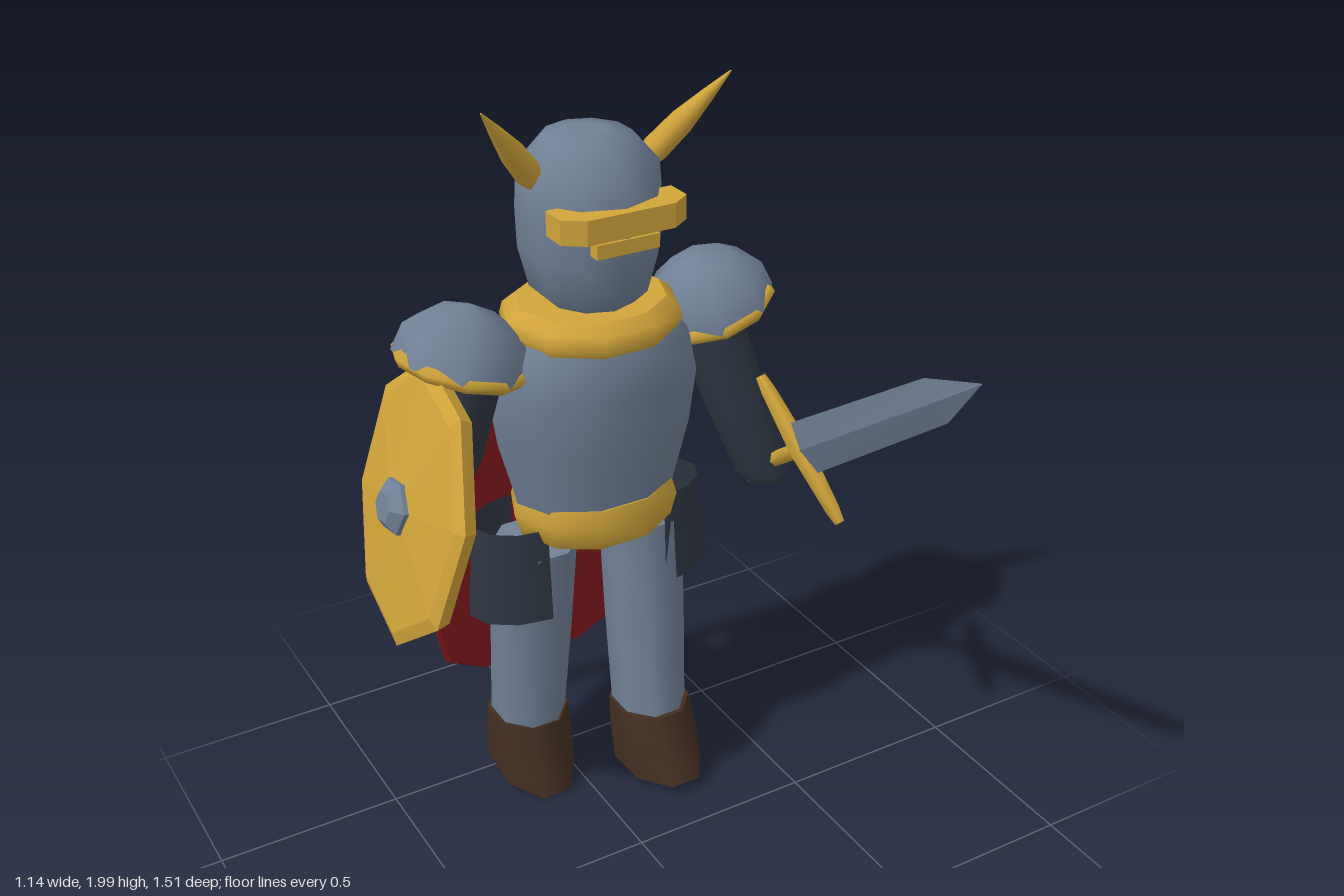
import * as THREE from 'three';

const CX = 0.055, CZ = -0.34; // body axis

const paint = (name, color, side = THREE.FrontSide) => {
  const m = new THREE.MeshStandardMaterial({ color, side });
  m.name = name;
  return m;
};

// Skin over elliptical rings, bottom to top. Ring: [y, cx, cz, rx, rz, slope of y along z]
function loft(rings, sides, { turn = 0, flat = false } = {}) {
  const pos = [], idx = [];
  const point = ([y, cx, cz, rx, rz, slope = 0], j) => {
    const a = turn + (j / sides) * Math.PI * 2;
    const dz = Math.cos(a) * rz;
    pos.push(cx + Math.sin(a) * rx, y + dz * slope, cz + dz);
  };
  rings.forEach((r, i) => {
    for (let j = 0; j < sides; j++) {
      point(r, j);
      if (i === rings.length - 1) continue;
      const a = i * sides + j, b = i * sides + (j + 1) % sides;
      idx.push(a, b, a + sides, b, b + sides, a + sides);
    }
  });
  // end caps
  [rings[0], rings[rings.length - 1]].forEach((r, top) => {
    const c = pos.length / 3;
    pos.push(r[1], r[0], r[2]);
    for (let j = 0; j < sides; j++) point(r, j);
    for (let j = 0; j < sides; j++) {
      const a = c + 1 + j, b = c + 1 + (j + 1) % sides;
      top ? idx.push(c, a, b) : idx.push(c, b, a);
    }
  });
  let g = new THREE.BufferGeometry();
  g.setAttribute('position', new THREE.Float32BufferAttribute(pos, 3));
  g.setIndex(idx);
  if (flat) g = g.toNonIndexed();
  g.computeVertexNormals();
  return g;
}

// Rings centred on a local axis: [y, rx, rz]
const axial = (rows, sides, opt) => loft(rows.map(([y, rx, rz = rx]) => [y, 0, 0, rx, rz]), sides, opt);
// Rings centred on the body axis: [y, rx, rz]
const bodyLoft = (rows, sides, opt) => loft(rows.map(([y, rx, rz]) => [y, CX, CZ, rx, rz]), sides, opt);

export function createModel() {
  const steel = paint('steel', 0x708096);
  const gold = paint('gold', 0xd0a43a);
  const dark = paint('dark iron', 0x2f3743, THREE.DoubleSide);
  const red = paint('red cloth', 0x8a1a1e);
  const leather = paint('brown leather', 0x432e21);

  const model = new THREE.Group();
  model.name = 'knight';
  const add = (name, geometry, material, parent = model) => {
    const m = new THREE.Mesh(geometry, material);
    m.name = name;
    parent.add(m);
    return m;
  };

  // Torso, collar and belt
  const flatFront = { turn: Math.PI / 10 };
  add('torso', bodyLoft([
    [0.9, 0.21, 0.16], [0.97, 0.225, 0.17], [1.12, 0.265, 0.195],
    [1.26, 0.285, 0.205], [1.36, 0.26, 0.2], [1.42, 0.2, 0.17],
  ], 10, flatFront), steel);
  add('collar', bodyLoft([
    [1.385, 0.215, 0.2], [1.41, 0.23, 0.215], [1.44, 0.222, 0.205], [1.465, 0.19, 0.175],
  ], 10, flatFront), gold);
  add('belt', bodyLoft([
    [0.825, 0.17, 0.14], [0.85, 0.21, 0.175], [0.91, 0.228, 0.185], [0.955, 0.215, 0.172],
  ], 10, flatFront), gold);

  // Helmet with visor and horns
  add('helmet', bodyLoft([
    [1.455, 0.1, 0.11], [1.5, 0.148, 0.155], [1.6, 0.172, 0.185], [1.7, 0.175, 0.187],
    [1.79, 0.17, 0.175], [1.865, 0.105, 0.11], [1.872, 0.05, 0.05],
  ], 10), steel);
  const brow = new THREE.Shape([
    [-0.165, 0.24], [0.165, 0.24], [0.165, 0.17], [0.115, 0.135], [-0.115, 0.135], [-0.165, 0.17],
  ].map(([x, y]) => new THREE.Vector2(x, y)));
  const visor = add('visor', new THREE.ExtrudeGeometry(brow, { depth: 0.06, bevelEnabled: false }), gold);
  visor.rotation.x = -Math.PI / 2;
  visor.position.set(CX, 1.68, 0);
  add('visorSlot', new THREE.BoxGeometry(0.165, 0.035, 0.08), gold).position.set(CX, 1.652, -0.19);

  const up = new THREE.Vector3(0, 1, 0);
  for (const s of [1, -1]) {
    const side = s > 0 ? 'left' : 'right';

    const horn = add(side + 'Horn', axial([
      [-0.02, 0.024], [0.02, 0.033], [0.11, 0.03], [0.2, 0.016], [0.275, 0.002],
    ], 8), gold);
    horn.position.set(CX + s * 0.155, 1.79, -0.325);
    horn.quaternion.setFromUnitVectors(up, new THREE.Vector3(s * 0.17, 0.21, 0.1).normalize());

    // Shoulder guard with a gold rim
    const guard = new THREE.Group();
    guard.name = side + 'ShoulderGuard';
    guard.position.set(CX + s * 0.35, 1.36, -0.35);
    guard.rotation.z = s * 0.3;
    model.add(guard);
    add('shoulderDome', axial([[0, 0.165], [0.07, 0.152], [0.125, 0.085], [0.145, 0.01]], 8,
      { turn: Math.PI / 8 }), steel, guard);
    const rim = add('shoulderRim', new THREE.TorusGeometry(0.148, 0.02, 5, 10), gold, guard);
    rim.rotation.x = Math.PI / 2;

    // Arm, swung forward on the left and back on the right
    const handZ = s > 0 ? -0.245 : -0.41;
    const armAt = (t, y, r) => [y, CX + s * (0.32 + 0.14 * t), THREE.MathUtils.lerp(-0.335, handZ, t), r, r * 1.1];
    add(side + 'Arm', loft([
      armAt(1, 0.885, 0.062), armAt(0.95, 0.91, 0.073), armAt(0.5, 1.12, 0.092), armAt(0, 1.38, 0.085),
    ], 8), dark);

    // Leg and boot, striding
    const lx = CX + s * 0.157, ankle = s > 0 ? -0.325 : -0.46;
    add(side + 'Leg', loft([
      [0.18, lx, ankle, 0.1, 0.113], [0.5, lx, (ankle - 0.375) / 2, 0.108, 0.116],
      [0.8, lx, -0.375, 0.11, 0.115],
    ], 8, { turn: Math.PI / 8 }), steel);
    const slope = s > 0 ? 0.07 : -0.15;
    add(side + 'Boot', loft([
      [0.03, lx, ankle + s * 0.02 + 0.03, 0.112, 0.168, slope],
      [0.13, lx, ankle + s * 0.01 + 0.015, 0.114, 0.145, slope / 2],
      [0.215, lx, ankle, 0.11, 0.124],
    ], 8, { turn: Math.PI / 8 }), leather);

    // Flared hip plate around the outside of the thigh
    const hip = add(side + 'HipPlate',
      new THREE.CylinderGeometry(0.105, 0.12, 0.26, 6, 1, true, s > 0 ? 0 : Math.PI, Math.PI), dark);
    hip.scale.x = 1.5;
    hip.position.set(CX + s * 0.17, 0.755, -0.375);
  }

  // Cape: a tapered cloth panel leaning out behind
  const half = [[0.13, 0], [0.175, -0.08], [0.23, -0.24], [0.305, -0.73], [0.315, -0.92], [0.27, -1.08], [0.15, -1.15]];
  const outline = [...half, ...half.map(([x, y]) => [-x, y]).reverse()];
  const cape = add('cape', new THREE.ExtrudeGeometry(
    new THREE.Shape(outline.map(([x, y]) => new THREE.Vector2(x, y))),
    { depth: 0.014, bevelThickness: 0.009, bevelSize: 0.012, bevelSegments: 1 }), red);
  cape.position.set(CX, 1.3, -0.52);
  cape.rotation.x = 0.205;

  // Shield on the right arm
  const shield = new THREE.Group();
  shield.name = 'shield';
  shield.position.set(-0.45, 1.05, -0.285);
  shield.rotation.z = 1.335;
  model.add(shield);
  const facets = { turn: 0.16, flat: true };
  add('shieldPlate', axial([[-0.015, 0.35, 0.27], [0.02, 0.365, 0.285], [0.035, 0.33, 0.255], [0.06, 0.06]], 8, facets),
    gold, shield);
  add('shieldBoss', axial([[0.03, 0.075], [0.07, 0.07], [0.095, 0.04]], 6, facets), steel, shield);

  // Sword in the left hand; local y runs along the blade, local x along the crossguard
  const sword = new THREE.Group();
  sword.name = 'sword';
  const along = new THREE.Vector3(-0.14, 0.555, 0.785).normalize();
  const thin = new THREE.Vector3(-0.09, 0.335, -0.25).cross(along).normalize();
  const cross = along.clone().cross(thin);
  sword.quaternion.setFromRotationMatrix(new THREE.Matrix4().makeBasis(cross, along, thin));
  sword.position.set(0.485, 1.06, -0.04);
  model.add(sword);
  add('blade', axial([[0, 0.072, 0.016], [0.77, 0.054, 0.014], [0.972, 0.002]], 4, { flat: true }), steel, sword);
  const bar = add('crossguard', axial([
    [-0.21, 0.018, 0.014], [-0.17, 0.028, 0.02], [0, 0.038, 0.03], [0.17, 0.028, 0.02], [0.21, 0.018, 0.014],
  ], 6), gold, sword);
  bar.rotation.z = Math.PI / 2;
  add('grip', axial([[-0.33, 0.02], [0.01, 0.022]], 6), gold, sword);
  add('pommel', new THREE.SphereGeometry(0.045, 8, 5), gold, sword).position.y = -0.335;

  return model;
}
